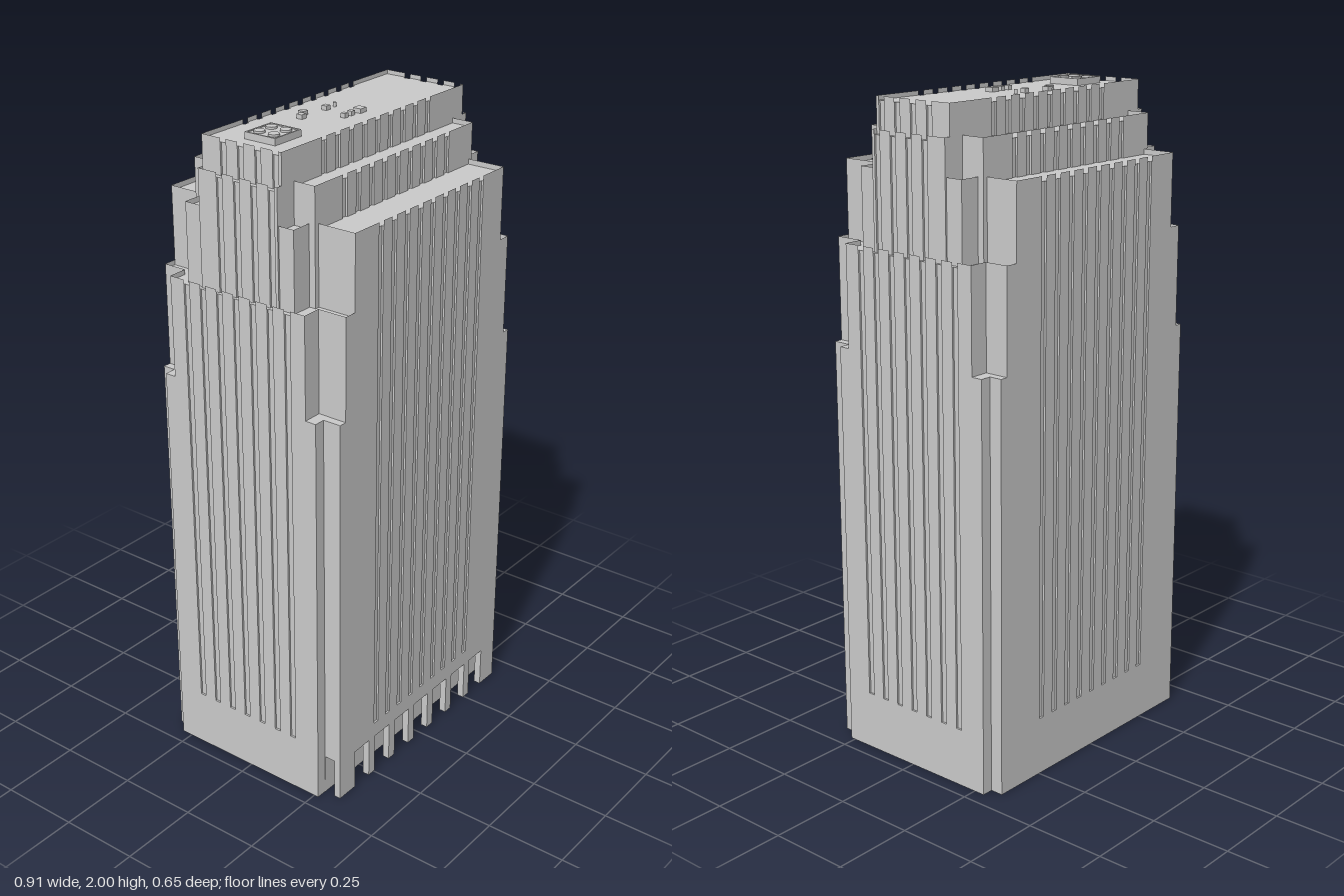
import * as THREE from 'three';

const material = new THREE.MeshStandardMaterial({ color: 0xcccccc, flatShading: true, side: THREE.DoubleSide });
const GROOVE_W = 0.02, GROOVE_D = 0.006, PITCH = 0.06;

// Stepped footprint from nested rectangles [half width, back z, front z], widening in x.
function footprint(rects) {
  const half = [];
  rects.forEach(([x, , f], i) => {
    half.push([x, f]);
    if (rects[i + 1]) half.push([x, rects[i + 1][2]]);
  });
  for (let i = rects.length - 1; i >= 0; i--) {
    half.push([rects[i][0], rects[i][1]]);
    if (i > 0) half.push([rects[i - 1][0], rects[i][1]]);
  }
  return [...half, ...half.map(([x, z]) => [-x, z]).reverse()];
}

// Cuts evenly spaced vertical grooves into the long edges; the third entry marks groove segments.
function addGrooves(corners) {
  const out = [];
  corners.forEach((a, i) => {
    const b = corners[(i + 1) % corners.length];
    const len = Math.hypot(b[0] - a[0], b[1] - a[1]);
    const d = [(b[0] - a[0]) / len, (b[1] - a[1]) / len];
    out.push([a[0], a[1], false]);
    if (len < 0.2) return;
    const alongX = Math.abs(d[0]) > 0.5;
    const sign = alongX ? d[0] : d[1];
    const start = alongX ? a[0] : a[1];
    const count = alongX ? 4 : 3;
    for (let k = -count; k <= count; k++) {
      const t = (sign * k * PITCH + (alongX ? 0 : -0.01) - start) * sign;
      if (t < 0.02 || t > len - 0.02) continue;
      const put = (s, depth, low) => out.push([
        a[0] + d[0] * s + d[1] * depth, a[1] + d[1] * s - d[0] * depth, low]);
      put(t - GROOVE_W / 2, 0, true);
      put(t - GROOVE_W / 2, GROOVE_D, true);
      put(t + GROOVE_W / 2, GROOVE_D, true);
      put(t + GROOVE_W / 2, 0, false);
    }
  });
  return out;
}

// Vertical walls along an outline; groove segments stop at the lower height.
function walls(outline, y0, low, high = low) {
  const pos = [];
  outline.forEach((a, i) => {
    const b = outline[(i + 1) % outline.length];
    const y1 = a[2] ? low : high;
    const A = [a[0], y0, a[1]], B = [b[0], y0, b[1]];
    const C = [b[0], y1, b[1]], D = [a[0], y1, a[1]];
    pos.push(...A, ...B, ...C, ...A, ...C, ...D);
  });
  const g = new THREE.BufferGeometry();
  g.setAttribute('position', new THREE.Float32BufferAttribute(pos, 3));
  g.computeVertexNormals();
  return g;
}

// Flat roof over an outline, open where the next tier rises.
function deck(outline, y, inner) {
  const pts = (o, s) => o.map(([x, z]) => new THREE.Vector2(x * s, -z * s));
  const shape = new THREE.Shape(pts(outline, 1));
  if (inner) shape.holes.push(new THREE.Path(pts(inner, 0.97)));
  return new THREE.ShapeGeometry(shape).rotateX(-Math.PI / 2).translate(0, y, 0);
}

export function createModel() {
  const model = new THREE.Group();
  const add = (name, geometry, parent = model) => {
    const mesh = new THREE.Mesh(geometry, material);
    mesh.name = name;
    parent.add(mesh);
    return mesh;
  };
  const box = (name, x0, x1, y0, y1, z0, z1, parent) =>
    add(name, new THREE.BoxGeometry(x1 - x0, y1 - y0, z1 - z0)
      .translate((x0 + x1) / 2, (y0 + y1) / 2, (z0 + z1) / 2), parent);

  // Hollow base: recessed at the front below the arcade lintel
  const plan = footprint([[0.42, -0.325, 0.322], [0.455, -0.285, 0.265]]);
  const recessed = footprint([[0.42, -0.325, 0.266], [0.455, -0.285, 0.265]]);
  add('lowerBase', walls(recessed, 0, 0.13));
  add('upperBase', walls(plan, 0.13, 0.18));
  const soffit = new THREE.PlaneGeometry(0.84, 0.057).rotateX(Math.PI / 2).translate(0, 0.13, 0.2935);
  add('arcadeSoffit', soffit);

  // Arcade: seven openings between narrow columns and wide end piers
  const arcade = new THREE.Group();
  arcade.name = 'arcade';
  model.add(arcade);
  for (let i = 0; i < 6; i++) {
    const x = (i - 2.5) * 0.104;
    box('arcadeColumn', x - 0.015, x + 0.015, 0, 0.13, 0.3, 0.322, arcade);
  }
  box('arcadePier', -0.42, -0.345, 0, 0.13, 0.3, 0.322, arcade);
  box('arcadePier', 0.345, 0.42, 0, 0.13, 0.3, 0.322, arcade);

  // Setback tiers: start height, deck height, parapet height, footprint
  const tiers = [
    ['shaft', 0.18, 1.26, 1.26, plan],
    ['firstSetback', 1.26, 1.555, 1.57, footprint([[0.395, -0.325, 0.322], [0.455, -0.25, 0.23]])],
    ['secondSetback', 1.555, 1.777, 1.793, footprint([
      [0.355, -0.325, 0.322], [0.37, -0.22, 0.2], [0.435, -0.2, 0.18], [0.44, -0.145, 0.13]])],
    ['thirdSetback', 1.777, 1.885, 1.9, footprint([[0.37, -0.22, 0.2], [0.44, -0.145, 0.13]])],
    ['crown', 1.885, 1.977, 1.99, footprint([[0.42, -0.145, 0.13]])],
  ].map(([name, y0, y1, top, corners]) => ({ name, y0, y1, top, outline: addGrooves(corners) }));
  add('baseLedge', deck(plan, 0.18, tiers[0].outline));
  tiers.forEach(({ name, y0, y1, top, outline }, i) => {
    add(name + 'Walls', walls(outline, y0, y1, top));
    add(name + 'Roof', deck(outline, y1, tiers[i + 1]?.outline));
  });

  // Rooftop cooling unit with four fans
  const roof = 1.977;
  const cooler = new THREE.Group();
  cooler.name = 'coolingUnit';
  model.add(cooler);
  box('coolerBody', -0.35, -0.25, roof, 1.994, -0.046, 0.05, cooler);
  for (const z of [-0.05, 0.051]) box('coolerRim', -0.355, -0.245, roof, 1.997, z, z + 0.005, cooler);
  for (const x of [-0.355, -0.25]) box('coolerRim', x, x + 0.005, roof, 1.997, -0.045, 0.051, cooler);
  for (const x of [-0.326, -0.276]) for (const z of [-0.022, 0.028])
    add('fan', new THREE.CylinderGeometry(0.016, 0.016, 0.01, 20).translate(x, 1.995, z), cooler);

  // Small rooftop units: x, z, size
  for (const [x, z, s] of [[-0.11, -0.052, 0.02], [-0.08, -0.07, 0.02], [0, -0.052, 0.018],
    [-0.03, 0.037, 0.015], [0, 0.037, 0.015], [0.04, 0.037, 0.027]])
    box('roofUnit', x - s / 2, x + s / 2, roof, 1.99, z - s / 2, z + s / 2);
  add('ventPipe', new THREE.CylinderGeometry(0.005, 0.005, 0.013, 12).translate(0.04, roof + 0.0065, -0.052));

  return model;
}
